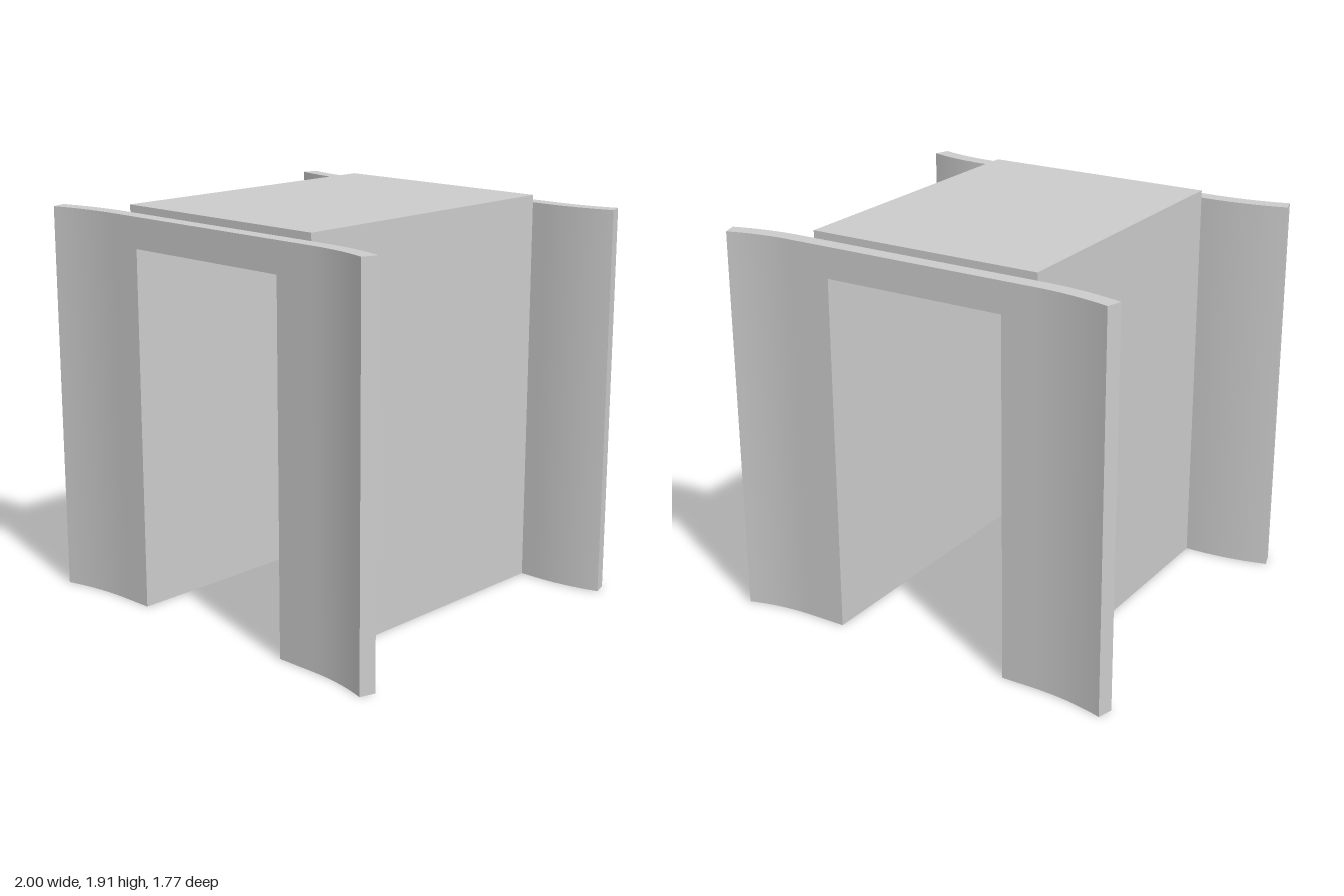
import * as THREE from 'three';
import { toCreasedNormals } from 'three/addons/utils/BufferGeometryUtils.js';

const material = new THREE.MeshStandardMaterial({ color: 0xcccccc });
const OPEN_X = 0.45, OPEN_Y = 1.73;   // passage through the middle
const WALL_X = 0.578, ROOF_Y = 1.912; // outside of the channel
const FLANGE_Y = 1.877, END_Z = 0.757;
const THICK = 0.077, FLARE = 0.055;

function addMesh(parent, name, geometry) {
  const mesh = new THREE.Mesh(geometry, material);
  mesh.name = name;
  parent.add(mesh);
  return mesh;
}

// Plan of one flange wing: flat beside the opening, then an arc bending outward
function wingGeometry(xSide, zSide, run) {
  const angle = 2 * Math.atan(FLARE / run);
  const radius = run / Math.sin(angle);
  const steps = 12;
  const inner = [[OPEN_X, END_Z]], outer = [[OPEN_X, END_Z + THICK]];
  for (let i = 0; i <= steps; i++) {
    const a = angle * i / steps;
    const x = 1 - run + radius * Math.sin(a);
    const z = END_Z + radius * (1 - Math.cos(a));
    inner.push([x, z]);
    outer.push([x - THICK * Math.sin(a), z + THICK * Math.cos(a)]);
  }
  const points = [...inner, ...outer.reverse()]
    .map(([x, z]) => new THREE.Vector2(x * xSide, -z * zSide));
  const geometry = new THREE.ExtrudeGeometry(new THREE.Shape(points), { depth: FLANGE_Y, bevelEnabled: false });
  geometry.rotateX(-Math.PI / 2);
  return toCreasedNormals(geometry, 0.4);
}

export function createModel() {
  const model = new THREE.Group();
  model.name = 'flangedChannel';

  // Inverted U channel: two walls and a roof
  const section = new THREE.Shape([
    [-WALL_X, 0], [-OPEN_X, 0], [-OPEN_X, OPEN_Y], [OPEN_X, OPEN_Y],
    [OPEN_X, 0], [WALL_X, 0], [WALL_X, ROOF_Y], [-WALL_X, ROOF_Y],
  ].map(([x, y]) => new THREE.Vector2(x, y)));
  const channel = new THREE.ExtrudeGeometry(section, { depth: 2 * END_Z, bevelEnabled: false });
  channel.translate(0, 0, -END_Z);
  addMesh(model, 'channel', channel);

  // A flared flange at each end, framing the opening
  for (const zSide of [1, -1]) {
    const flange = new THREE.Group();
    flange.name = zSide > 0 ? 'frontFlange' : 'backFlange';
    addMesh(flange, 'leftWing', wingGeometry(1, zSide, 0.34));
    addMesh(flange, 'rightWing', wingGeometry(-1, zSide, 0.39));
    const lintel = addMesh(flange, 'lintel', new THREE.BoxGeometry(2 * OPEN_X, FLANGE_Y - OPEN_Y, THICK));
    lintel.position.set(0, (FLANGE_Y + OPEN_Y) / 2, zSide * (END_Z + THICK / 2));
    model.add(flange);
  }
  return model;
}
